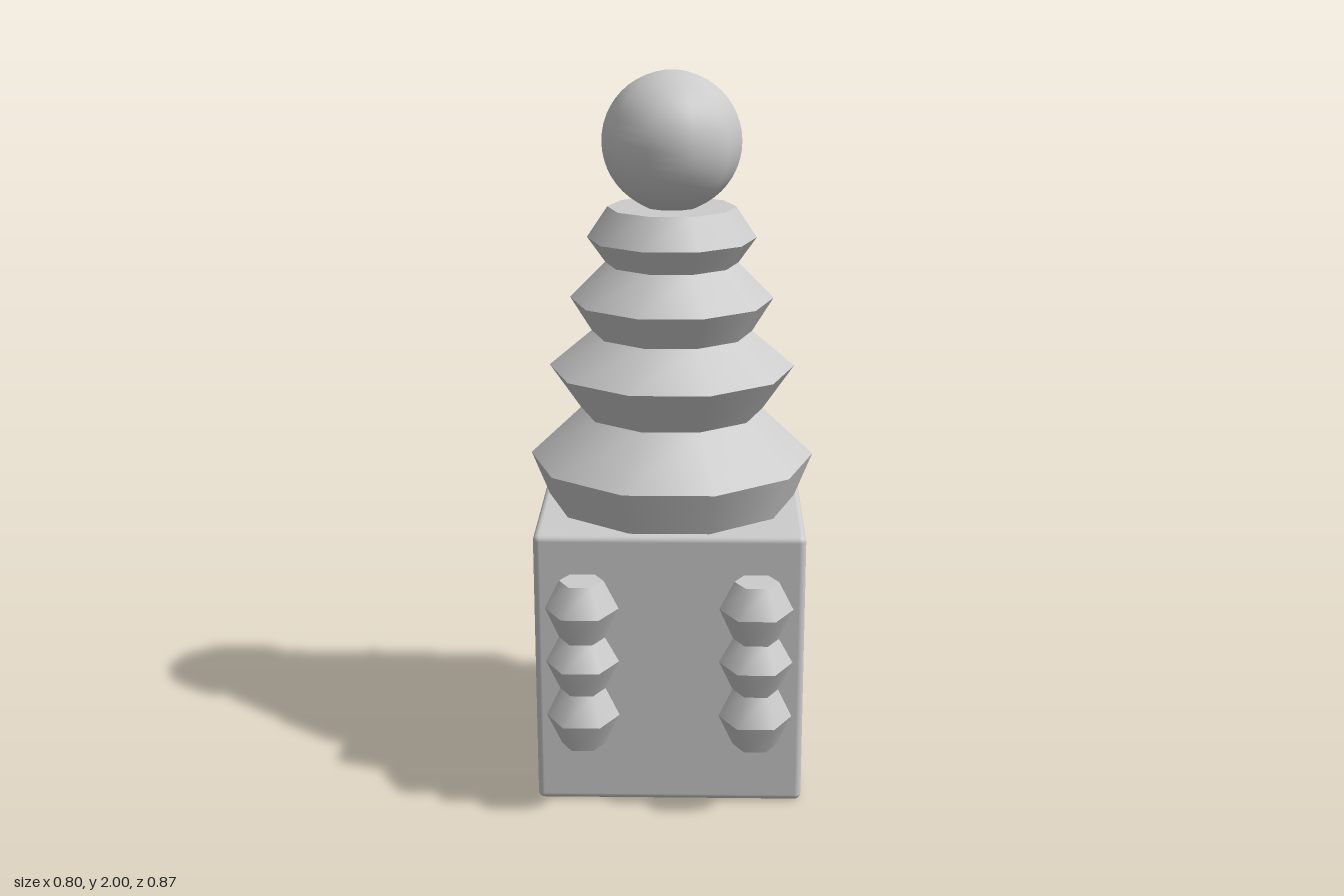
import * as THREE from 'three';
import { RoundedBoxGeometry } from 'three/addons/geometries/RoundedBoxGeometry.js';

const material = new THREE.MeshStandardMaterial({ color: 0xcccccc });

function part(name, geometry, parent, x, y, z) {
  const mesh = new THREE.Mesh(geometry, material);
  mesh.name = name;
  mesh.position.set(x, y, z);
  parent.add(mesh);
  return mesh;
}

// Stack of tapering rings from [radius, height] points, round in shading but
// with a sharp edge between rings; closed with a flat cap at each end.
function ringStack(name, profile, sides) {
  const group = new THREE.Group();
  group.name = name;
  for (let i = 0; i < profile.length - 1; i++) {
    const [r0, y0] = profile[i];
    const [r1, y1] = profile[i + 1];
    const ring = new THREE.CylinderGeometry(r1, r0, y1 - y0, sides, 1, true, Math.PI / 2);
    part('ring' + (i + 1), ring, group, 0, (y0 + y1) / 2, 0);
  }
  const ends = [['bottomCap', profile[0], 1], ['topCap', profile[profile.length - 1], -1]];
  for (const [capName, [r, y], turn] of ends) {
    part(capName, new THREE.CircleGeometry(r, sides), group, 0, y, 0).rotation.x = turn * Math.PI / 2;
  }
  return group;
}

export function createModel() {
  const model = new THREE.Group();
  model.name = 'ringedTower';
  const cz = -0.052;

  // Base block with softly rounded edges
  part('baseBlock', new RoundedBoxGeometry(0.74, 0.79, 0.714, 3, 0.018), model, 0, 0.4, cz);

  // Ten-sided tower of shrinking rings
  const tower = ringStack('tower', [
    [0.35, 0.79], [0.402, 0.92], [0.258, 1.055], [0.345, 1.18], [0.225, 1.28],
    [0.284, 1.375], [0.185, 1.475], [0.235, 1.545], [0.178, 1.63],
  ], 10);
  tower.position.z = cz;
  model.add(tower);

  // Ball on top
  part('ball', new THREE.SphereGeometry(0.192, 10, 24), model, 0, 1.808, cz);

  // Six-sided beaded columns on the front face
  const beads = [
    [0.06, 0.205], [0.1, 0.29], [0.062, 0.37], [0.1, 0.45],
    [0.062, 0.52], [0.1, 0.605], [0.06, 0.685],
  ];
  for (const [name, side] of [['leftBeadColumn', 1], ['rightBeadColumn', -1]]) {
    const column = ringStack(name, beads, 6);
    column.position.set(side * 0.236, 0, 0.351);
    model.add(column);
  }
  return model;
}
